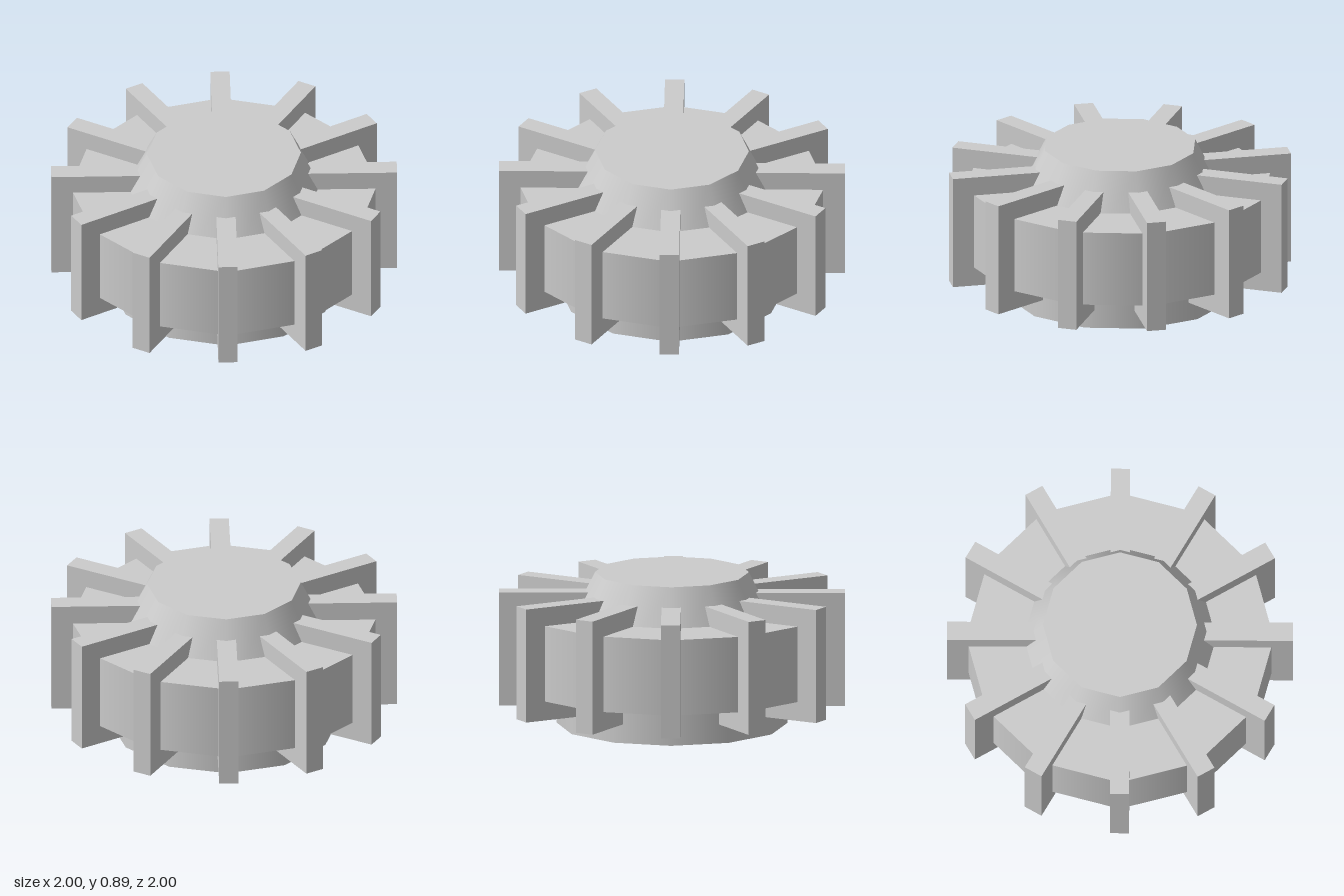
import * as THREE from 'three';

const SIDES = 12;

export function createModel() {
  const model = new THREE.Group();
  const material = new THREE.MeshStandardMaterial({ color: 0xcccccc });

  // Twelve-sided drum standing on its lower rim at height y
  const addDrum = (name, topRadius, bottomRadius, y, height) => {
    const geometry = new THREE.CylinderGeometry(topRadius, bottomRadius, height, SIDES);
    geometry.translate(0, y + height / 2, 0);
    const mesh = new THREE.Mesh(geometry, material);
    mesh.name = name;
    model.add(mesh);
  };

  // Core: straight base and tapered crown
  addDrum('base', 0.667, 0.667, 0, 0.445);
  addDrum('crown', 0.445, 0.667, 0.445, 0.445);

  // Wide band around the core
  addDrum('band', 0.89, 0.89, 0.223, 0.445);

  // Radial teeth, one on each corner of the band
  const teeth = new THREE.Group();
  teeth.name = 'teeth';
  const toothGeometry = new THREE.BoxGeometry(0.112, 0.667, 0.555);
  toothGeometry.translate(0, 0.445, 1 - 0.555 / 2);
  for (let i = 0; i < SIDES; i++) {
    const tooth = new THREE.Mesh(toothGeometry, material);
    tooth.name = `tooth${i + 1}`;
    tooth.rotation.y = (i / SIDES) * Math.PI * 2;
    teeth.add(tooth);
  }
  model.add(teeth);

  return model;
}
